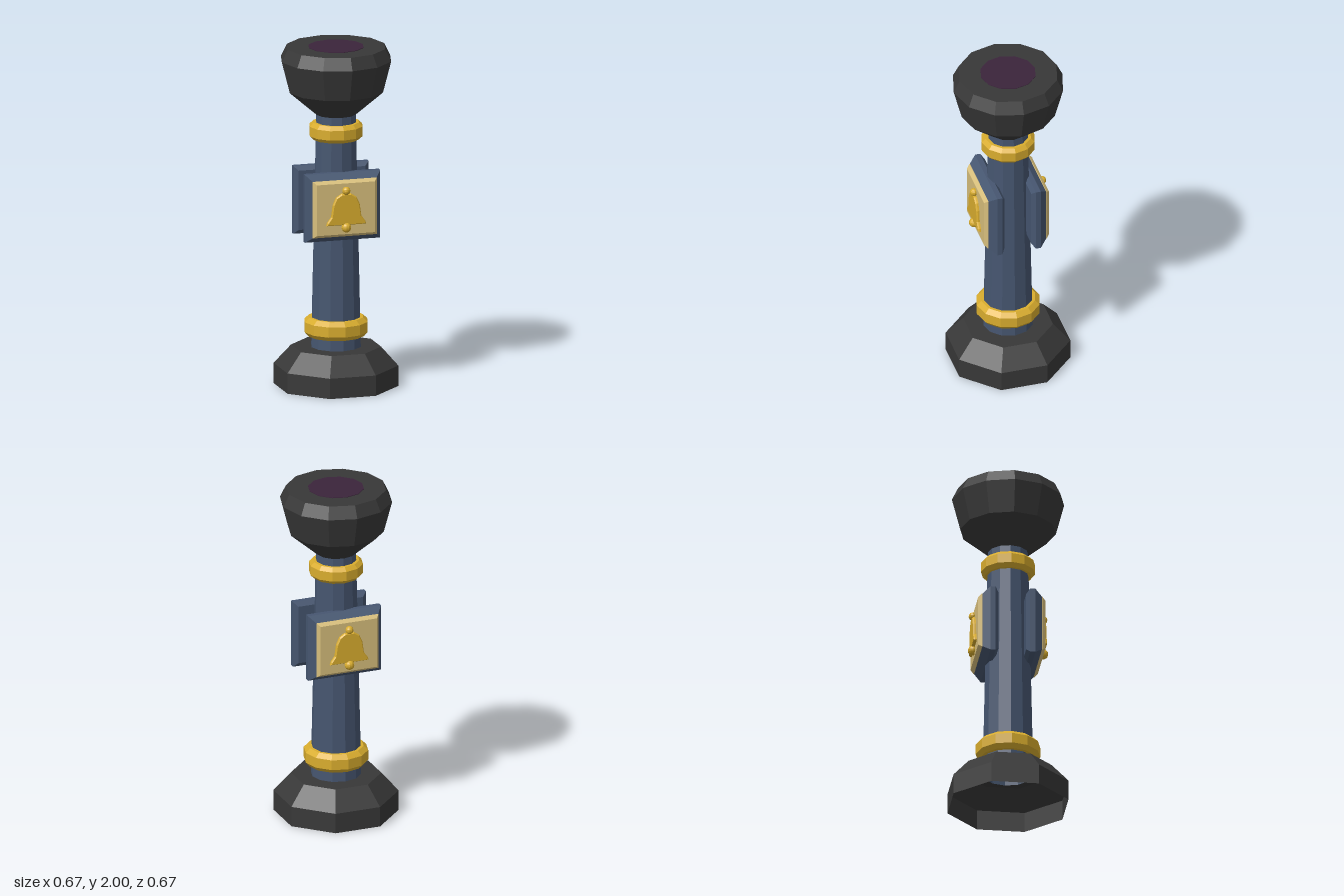
import * as THREE from 'three';

const mat = (name, color, side = THREE.FrontSide) => {
  const m = new THREE.MeshStandardMaterial({ color, side });
  m.name = name;
  return m;
};

// Faceted normals
function flat(geometry) {
  const g = geometry.index ? geometry.toNonIndexed() : geometry;
  g.computeVertexNormals();
  return g;
}

function addPart(parent, name, geometry, material) {
  const mesh = new THREE.Mesh(flat(geometry), material);
  mesh.name = name;
  parent.add(mesh);
  return mesh;
}

// Faceted turned shape from [radius, y] pairs, listed bottom to top
function turned(profile, sides, start = 0) {
  return new THREE.LatheGeometry(profile.map(([r, y]) => new THREE.Vector2(r, y)), sides, start);
}

// Chamfered slab from rectangles [halfWidth, halfHeight, z], listed back to front
function slab(sections) {
  const pos = [], index = [];
  for (const [w, h, z] of sections) pos.push(-w, -h, z, w, -h, z, w, h, z, -w, h, z);
  for (let s = 0; s < sections.length - 1; s++) {
    for (let i = 0; i < 4; i++) {
      const a = s * 4 + i, b = s * 4 + (i + 1) % 4;
      index.push(a, b, b + 4, a, b + 4, a + 4);
    }
  }
  const f = (sections.length - 1) * 4;
  index.push(0, 2, 1, 0, 3, 2, f, f + 1, f + 2, f, f + 2, f + 3);
  const g = new THREE.BufferGeometry();
  g.setAttribute('position', new THREE.Float32BufferAttribute(pos, 3));
  g.setIndex(index);
  return g;
}

// Bell silhouette, mirrored about its centre line
function bellGeometry() {
  const half = [[0.112, -0.088], [0.108, -0.078], [0.084, -0.045], [0.074, 0.025],
    [0.056, 0.065], [0.026, 0.085]];
  const outline = [...half, ...half.map(([x, y]) => [-x, y]).reverse()];
  const shape = new THREE.Shape(outline.map(([x, y]) => new THREE.Vector2(x, y)));
  return new THREE.ExtrudeGeometry(shape, {
    depth: 0.015, bevelEnabled: true, bevelThickness: 0.008, bevelSize: 0.006, bevelSegments: 1
  });
}

export function createModel() {
  const iron = mat('dark iron', 0x383838, THREE.DoubleSide);
  const blue = mat('slate blue', 0x465670, THREE.DoubleSide);
  const gold = mat('gold', 0xd9ad2e);
  const cream = mat('cream', 0xd8bf7c);
  const purple = mat('deep purple', 0x3b243b);

  const model = new THREE.Group();
  model.name = 'bellPost';

  // Hollow octagonal foot, open underneath
  addPart(model, 'foot', turned([[0.36, 0], [0.36, 0.12], [0.26, 0.23], [0.1, 0.23]], 8, Math.PI / 8), iron);

  // Tapering column
  addPart(model, 'column', turned([[0.147, 0.2], [0.116, 1.62]], 12), blue);

  // Gold collars
  addPart(model, 'lowerCollar', turned(
    [[0.13, 0.295], [0.165, 0.295], [0.187, 0.32], [0.187, 0.38], [0.16, 0.405], [0.13, 0.405]], 12), gold);
  addPart(model, 'upperCollar', turned(
    [[0.11, 1.455], [0.135, 1.455], [0.157, 1.477], [0.157, 1.533], [0.135, 1.555], [0.11, 1.555]], 12), gold);

  // Bowl-shaped head with an inlaid disc on top
  addPart(model, 'head', turned(
    [[0, 1.6], [0.115, 1.6], [0.277, 1.74], [0.325, 1.925], [0.29, 1.997], [0, 1.997]], 12), iron);
  const disc = addPart(model, 'topDisc', new THREE.CylinderGeometry(0.162, 0.162, 0.006, 12), purple);
  disc.position.y = 1.997;

  // Matching bell signs on the front and back
  for (const [name, turn] of [['frontSign', 0], ['backSign', Math.PI]]) {
    const sign = new THREE.Group();
    sign.name = name;
    sign.position.y = 1.083;
    sign.rotation.y = turn;
    model.add(sign);
    addPart(sign, 'signFrame', slab(
      [[0.2, 0.175, 0.08], [0.226, 0.2, 0.1], [0.226, 0.2, 0.13], [0.192, 0.167, 0.172]]), blue);
    addPart(sign, 'signPanel', slab(
      [[0.192, 0.167, 0.165], [0.192, 0.167, 0.175], [0.174, 0.15, 0.195]]), cream);
    addPart(sign, 'bell', bellGeometry(), gold).position.z = 0.19;
    addPart(sign, 'bellKnob', new THREE.SphereGeometry(0.024, 10, 8), gold).position.set(0, 0.108, 0.204);
    addPart(sign, 'bellClapper', new THREE.SphereGeometry(0.029, 10, 8), gold).position.set(0, -0.108, 0.204);
  }
  return model;
}
